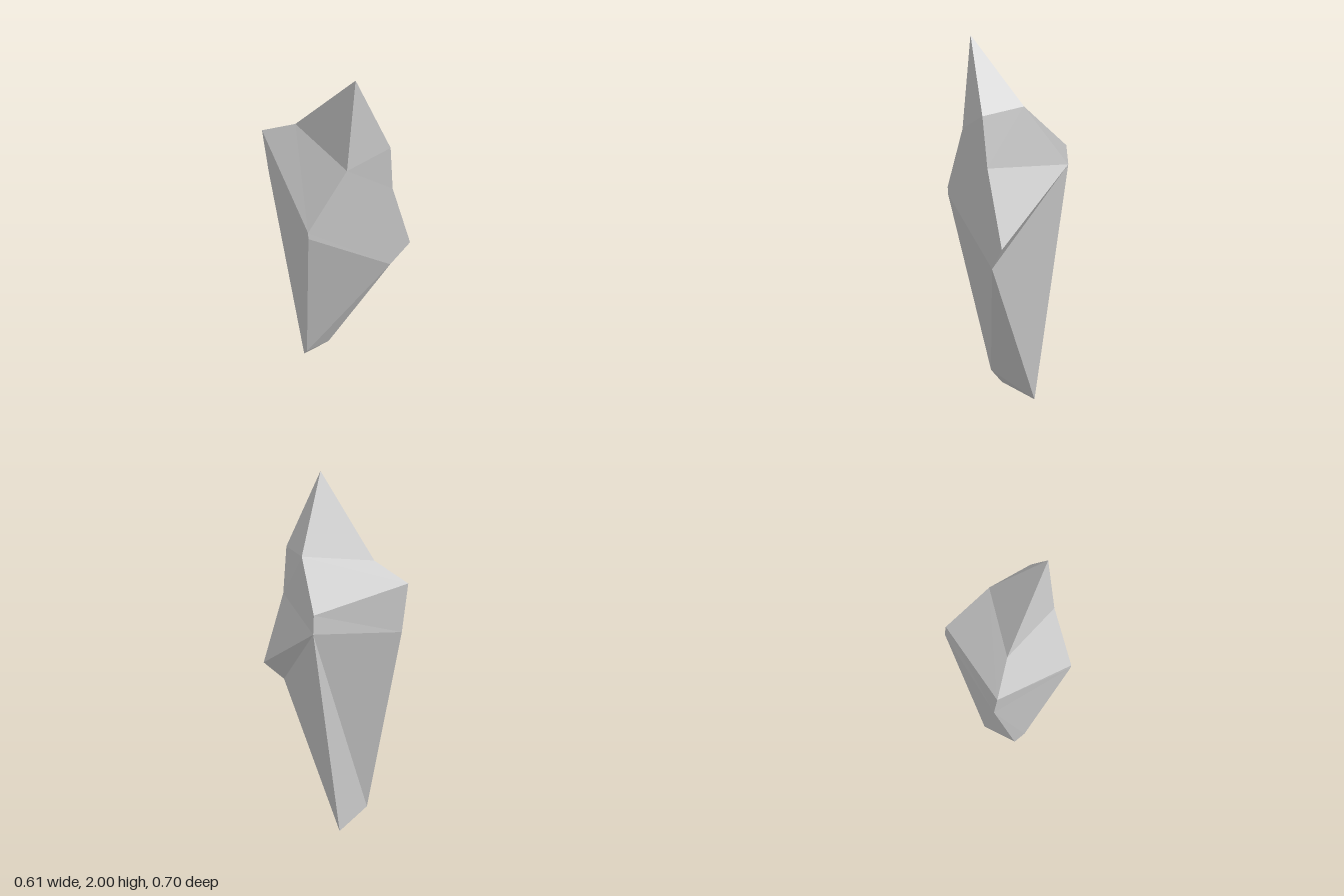
import * as THREE from 'three';

// Corners of the faceted shard
const corners = {
  apex: [-0.07, 2.0, 0.205],
  // shoulder ring below the tip
  shoulderFront: [0.08, 1.6, 0.31],
  shoulderRight: [0.175, 1.64, 0.08],
  shoulderBack: [-0.09, 1.62, -0.17],
  shoulderLeft: [-0.125, 1.52, 0.205],
  // waist: upper and lower corner of each bevelled ridge
  sideTop: [0.295, 1.43, -0.14],
  sideLow: [0.305, 1.33, -0.145],
  backTop: [-0.15, 1.535, -0.352],
  backLow: [-0.122, 1.27, -0.345],
  outerTop: [-0.305, 1.19, 0.105],
  outerLow: [-0.303, 1.15, 0.105],
  ridge: [0.11, 1.34, 0.31],
  chinTop: [0.228, 0.945, 0.352],
  chinLow: [0.13, 0.825, 0.3],
  // foot
  footTip: [0.11, 0, -0.13],
  footFront: [-0.145, 0.14, -0.07],
  footBack: [-0.11, 0.06, -0.126],
};

// Facets, counter-clockwise from outside; each is fanned from its first corner
const facets = [
  // tip
  'apex shoulderFront shoulderRight',
  'apex shoulderRight shoulderBack',
  'apex shoulderBack shoulderLeft',
  'apex shoulderLeft shoulderFront',
  // upper body
  'shoulderRight sideTop backTop shoulderBack',
  'shoulderBack backTop outerTop shoulderLeft',
  'shoulderLeft outerTop ridge shoulderFront',
  'outerTop chinTop ridge',
  'outerTop outerLow chinLow chinTop',
  'shoulderRight shoulderFront ridge sideLow sideTop',
  'ridge chinTop sideLow',
  'chinTop chinLow sideLow',
  'sideTop sideLow backLow backTop',
  'backTop backLow outerLow outerTop',
  // tapering lower body
  'chinLow footTip sideLow',
  'sideLow footTip footBack backLow',
  'backLow footBack footFront outerLow',
  'outerLow footFront chinLow',
  'footFront footTip chinLow',
  'footFront footBack footTip',
];

export function createModel() {
  const positions = [];
  for (const facet of facets) {
    const p = facet.split(' ').map((name) => corners[name]);
    for (let i = 1; i < p.length - 1; i++) positions.push(...p[0], ...p[i], ...p[i + 1]);
  }
  const geometry = new THREE.BufferGeometry();
  geometry.setAttribute('position', new THREE.Float32BufferAttribute(positions, 3));
  geometry.computeVertexNormals();

  const shard = new THREE.Mesh(
    geometry,
    new THREE.MeshStandardMaterial({ color: 0xcccccc, flatShading: true })
  );
  shard.name = 'rockShard';

  const group = new THREE.Group();
  group.name = 'rock';
  group.add(shard);
  return group;
}
